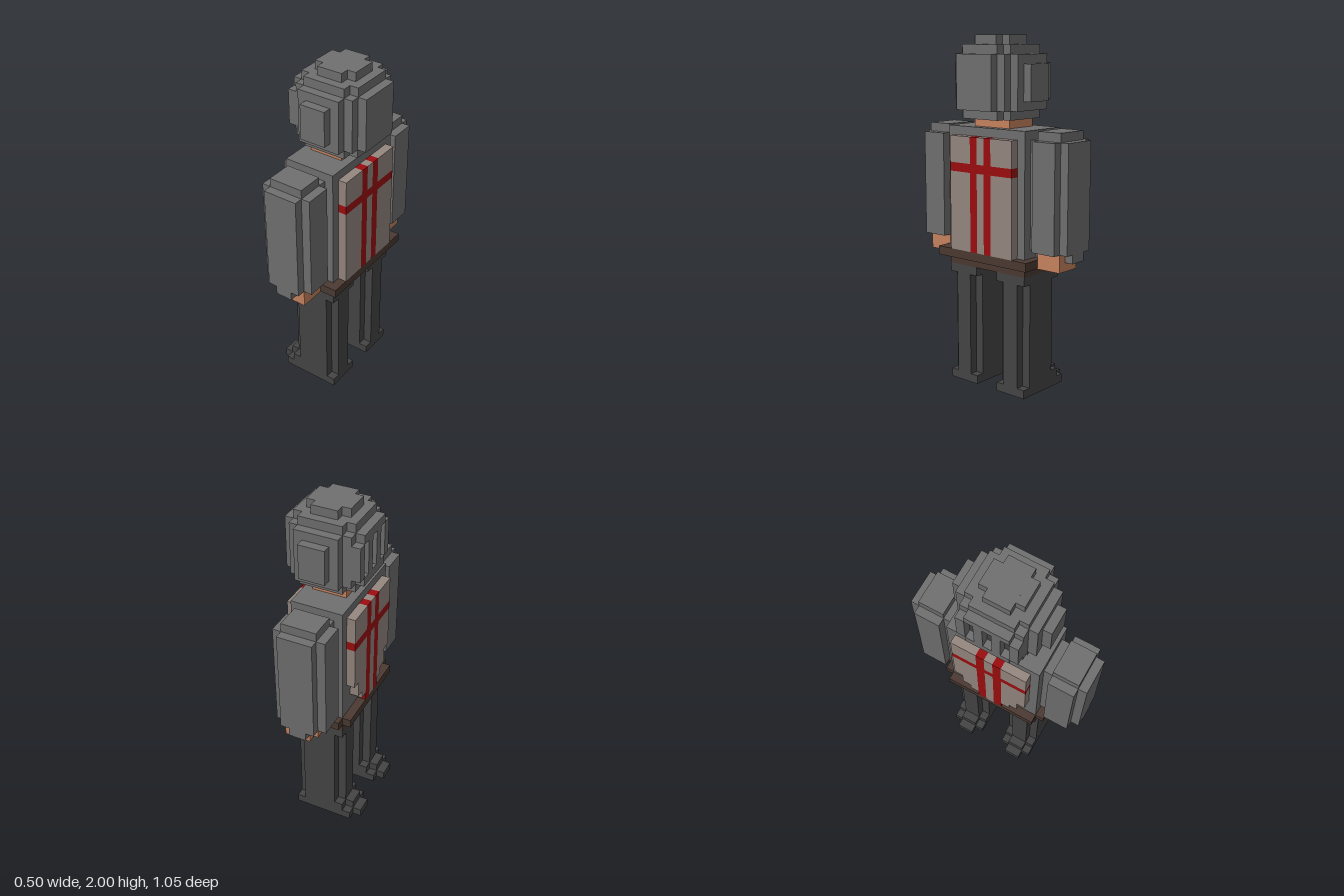
import * as THREE from 'three';

const mat = (name, color) => {
  const m = new THREE.MeshStandardMaterial({ color });
  m.name = name;
  return m;
};

export function createModel() {
  const steel = mat('steel grey', 0x707070);
  const dark = mat('dark cloth', 0x454545);
  const brown = mat('belt brown', 0x4b3a32);
  const red = mat('cross red', 0x9c0d0f);
  const linen = mat('linen', 0x968780);
  const skin = mat('skin', 0xc8845f);

  const model = new THREE.Group();
  model.name = 'knight';
  const part = (name) => {
    const g = new THREE.Group();
    g.name = name;
    model.add(g);
    return g;
  };
  // block given by its limits on each axis
  const block = (parent, name, material, x0, x1, y0, y1, z0, z1) => {
    const mesh = new THREE.Mesh(new THREE.BoxGeometry(x1 - x0, y1 - y0, z1 - z0), material);
    mesh.position.set((x0 + x1) / 2, (y0 + y1) / 2, (z0 + z1) / 2);
    mesh.name = name;
    parent.add(mesh);
  };

  // helmet: stacked slabs, the face looks towards -x
  const head = part('helmet');
  const slab = (name, x0, x1, y0, y1, z) => block(head, name, steel, x0, x1, y0, y1, -z, z);
  slab('crownLong', -0.1, 0.15, 1.95, 2, 0.075);
  slab('crownWide', -0.05, 0.1, 1.95, 2, 0.125);
  slab('shellLong', -0.15, 0.2, 1.55, 1.95, 0.125);
  slab('shellWide', -0.1, 0.15, 1.55, 1.95, 0.175);
  slab('wallLong', -0.15, 0.2, 1.6, 1.9, 0.175);
  slab('wallWide', -0.1, 0.15, 1.6, 1.9, 0.225);
  slab('earPlates', -0.05, 0.1, 1.65, 1.85, 0.275);
  slab('napePlate', 0.2, 0.25, 1.6, 1.9, 0.125);
  // visor with three upright slots
  slab('visorBrow', -0.2, -0.15, 1.85, 1.9, 0.125);
  slab('visorChin', -0.2, -0.15, 1.6, 1.65, 0.125);
  for (const z of [-0.15, -0.05, 0.05, 0.15])
    block(head, 'visorBar', steel, -0.2, -0.15, 1.65, 1.85, z - 0.025, z + 0.025);
  for (const z of [-0.1, 0, 0.1])
    block(head, 'visorSlot', dark, -0.155, -0.148, 1.65, 1.85, z - 0.025, z + 0.025);

  // body
  const body = part('body');
  block(body, 'neck', skin, -0.1, 0.1, 1.5, 1.55, -0.125, 0.125);
  block(body, 'torso', steel, -0.15, 0.15, 0.8, 1.5, -0.275, 0.275);
  block(body, 'belt', brown, -0.15, 0.2, 0.75, 0.8, -0.325, 0.325);
  block(body, 'beltFront', brown, -0.2, -0.15, 0.75, 0.8, -0.275, 0.275);
  block(body, 'hips', brown, -0.15, 0.15, 0.7, 0.75, -0.275, 0.275);

  // tabard columns: straight hem at the back, stepped hem at the front
  const tabard = part('tabard');
  const frontHem = [0.8, 0.8, 0.85, 0.9, 1];
  for (const [x, hems] of [[0.15, null], [-0.2, frontHem]]) {
    for (let i = -4; i <= 4; i++) {
      const z0 = i * 0.05 - 0.025, z1 = z0 + 0.05;
      const hem = hems ? hems[Math.abs(i)] : 0.8;
      const cloth = Math.abs(i) === 1 ? red : linen;
      block(tabard, 'clothLower', cloth, x, x + 0.05, hem, 1.25, z0, z1);
      block(tabard, 'clothUpper', cloth, x, x + 0.05, 1.3, 1.45, z0, z1);
    }
    block(tabard, 'crossBar', red, x, x + 0.05, 1.25, 1.3, -0.225, 0.225);
  }

  // arms and legs, mirrored across z
  for (const s of [1, -1]) {
    const side = s > 0 ? 'A' : 'B';
    const arm = part('arm' + side);
    const leg = part('leg' + side);
    const limb = (g, name, m, x0, x1, y0, y1, a, b) =>
      block(g, name, m, x0, x1, y0, y1, Math.min(s * a, s * b), Math.max(s * a, s * b));

    limb(arm, 'shoulderCap', steel, -0.1, 0.1, 1.45, 1.5, 0.325, 0.475);
    limb(arm, 'sleeve', steel, -0.15, 0.15, 0.85, 1.45, 0.325, 0.475);
    limb(arm, 'sleeveSides', steel, -0.1, 0.1, 0.85, 1.45, 0.275, 0.525);
    limb(arm, 'outerCuff', steel, -0.05, 0.05, 0.8, 0.85, 0.475, 0.525);
    limb(arm, 'innerCuff', steel, -0.05, 0.05, 0.8, 0.85, 0.275, 0.325);
    limb(arm, 'hand', skin, -0.1, 0.1, 0.8, 0.85, 0.325, 0.475);
    limb(arm, 'fingers', skin, -0.05, 0.1, 0.75, 0.8, 0.325, 0.475);

    limb(leg, 'thigh', dark, -0.15, 0.15, 0.65, 0.7, 0.075, 0.275);
    limb(leg, 'legLong', dark, -0.15, 0.15, 0.05, 0.65, 0.125, 0.225);
    limb(leg, 'legWide', dark, -0.1, 0.1, 0.05, 0.65, 0.075, 0.275);
    limb(leg, 'sole', dark, -0.2, 0.15, 0, 0.05, 0.075, 0.275);
    limb(leg, 'toe', dark, -0.25, -0.2, 0, 0.05, 0.125, 0.225);
    limb(leg, 'instep', dark, -0.2, -0.15, 0.05, 0.1, 0.125, 0.225);
    limb(leg, 'ankle', dark, -0.15, -0.1, 0.05, 0.1, 0.075, 0.275);
  }
  return model;
}
